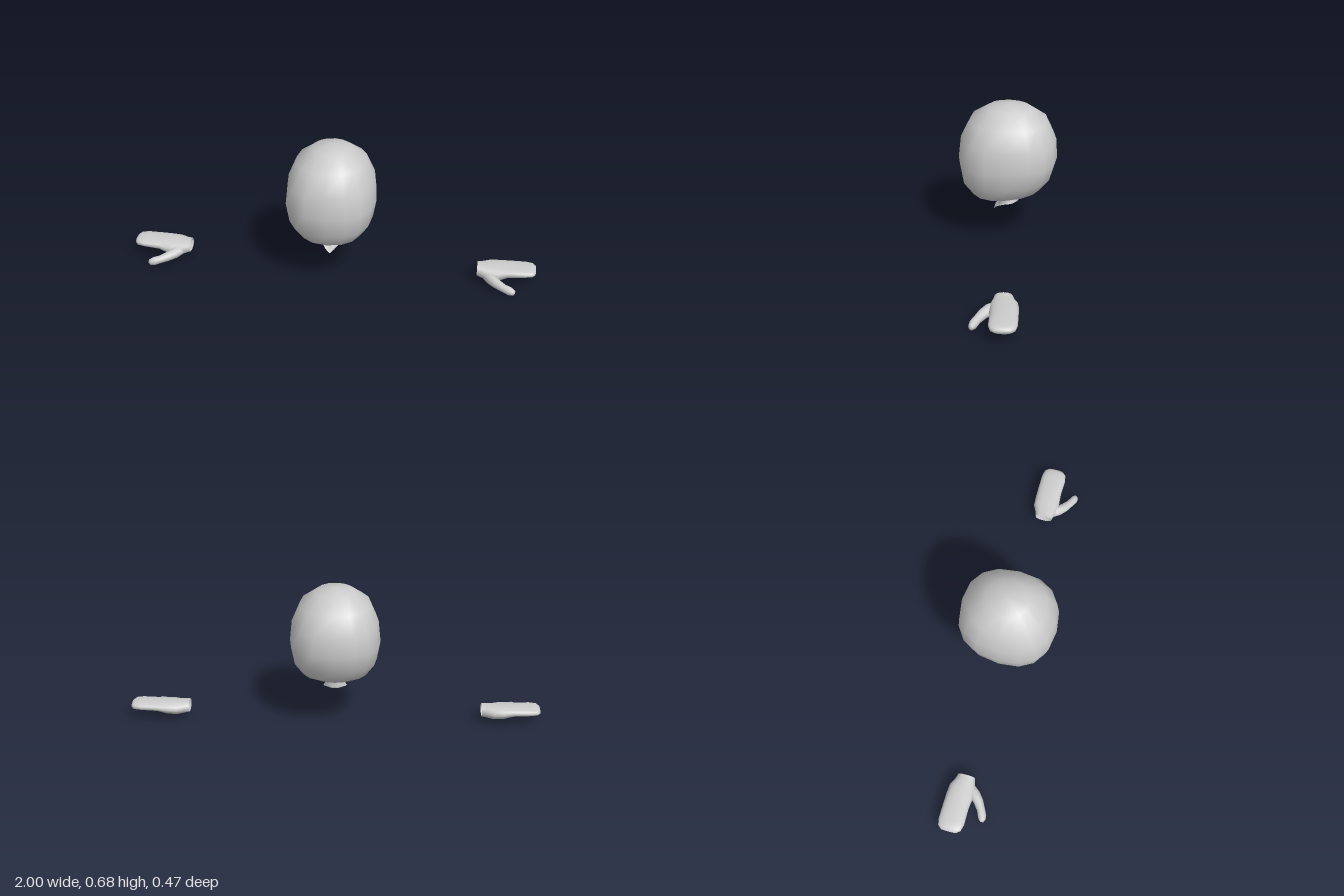
import * as THREE from 'three';
import { mergeVertices } from 'three/addons/utils/BufferGeometryUtils.js';

const material = new THREE.MeshStandardMaterial({ color: 0xcccccc, side: THREE.DoubleSide });
const signedPow = (v, e) => Math.sign(v) * Math.pow(Math.abs(v), e);

// Smooth skin over closed rings of points; zero-size rings become poles.
function loft(name, rings) {
  const n = rings[0].length, index = [];
  for (let i = 0; i < rings.length - 1; i++) {
    for (let j = 0; j < n; j++) {
      const k = (j + 1) % n, a = i * n + j, b = i * n + k, c = a + n, d = b + n;
      index.push(a, b, d, a, d, c);
    }
  }
  let geometry = new THREE.BufferGeometry();
  geometry.setAttribute('position', new THREE.Float32BufferAttribute(rings.flat(2), 3));
  geometry.setIndex(index);
  geometry = mergeVertices(geometry, 1e-5);
  geometry.computeVertexNormals();
  const mesh = new THREE.Mesh(geometry, material);
  mesh.name = name;
  return mesh;
}

// One ring: calls point(cos, sin), squared off by the exponent.
function ring(n, exponent, point) {
  return Array.from({ length: n }, (_, j) => {
    const a = (j / n) * Math.PI * 2;
    const c = Math.abs(Math.cos(a)) < 1e-9 ? 0 : Math.cos(a);
    const s = Math.abs(Math.sin(a)) < 1e-9 ? 0 : Math.sin(a);
    return point(signedPow(c, 2 / exponent), signedPow(s, 2 / exponent));
  });
}

// Mirror rings across x while keeping faces outward.
const mirror = (rings) => rings.map((r) => r.map(([x, y, z]) => [-x, y, z]).reverse());

function createHead() {
  // front z, front y, back z, back y, half width, squareness
  const rows = [
    [0.0, 0.207, 0.0, 0.207, 0, 2],
    [0.095, 0.204, -0.09, 0.227, 0.088, 2.1],
    [0.172, 0.235, -0.165, 0.268, 0.158, 2.3],
    [0.22, 0.305, -0.212, 0.33, 0.202, 2.4],
    [0.237, 0.407, -0.236, 0.413, 0.218, 2.45],
    [0.225, 0.515, -0.23, 0.51, 0.208, 2.4],
    [0.178, 0.613, -0.19, 0.602, 0.168, 2.3],
    [0.095, 0.67, -0.112, 0.663, 0.092, 2.1],
    [-0.01, 0.685, -0.01, 0.685, 0, 2],
  ];
  return loft('head', rows.map(([zf, yf, zb, yb, w, p]) => ring(16, p, (c, s) => [
    w * s,
    (yf + yb) / 2 + c * (yf - yb) / 2,
    (zf + zb) / 2 + c * (zf - zb) / 2,
  ])));
}

function createNeck() {
  const n = 16;
  // Open collar hem that drops to a point at the front
  const hem = ring(n, 2, (c, s) => [
    0.057 * s,
    c > 0 ? 0.18 - 0.053 * (1 - Math.abs(s)) : 0.18 - 0.008 * c,
    c > 0 ? -0.006 + 0.076 * Math.pow(c, 1.5) : -0.006 + 0.047 * c,
  ]);
  const middle = ring(n, 2, (c, s) => [0.051 * s, 0.19 - (c > 0 ? 0.025 : -0.008) * c, -0.006 + 0.047 * c]);
  const top = ring(n, 2, (c, s) => [0.045 * s, 0.222 - 0.01 * c, -0.006 + 0.047 * c]);
  return loft('neck', [hem, middle, top]);
}

function palmRings() {
  // x, back z, front z, bottom y, top y, drop towards the thumb
  const sections = [
    [0.716, -0.055, 0.03, 0.032, 0.089, 0],
    [0.74, -0.062, 0.036, 0.026, 0.088, 0.003],
    [0.775, -0.08, 0.048, 0.018, 0.089, 0.008],
    [0.82, -0.083, 0.046, 0.022, 0.09, 0.008],
    [0.87, -0.083, 0.042, 0.042, 0.09, 0.003],
    [0.95, -0.083, 0.044, 0.05, 0.09, 0],
    [0.983, -0.076, 0.036, 0.052, 0.088, 0],
    [0.998, -0.058, 0.016, 0.058, 0.08, 0],
    [1.0, -0.02, -0.02, 0.068, 0.068, 0],
  ];
  return sections.map(([x, zb, zf, y0, y1, drop]) => ring(16, 2.4, (c, s) => [
    x,
    (y0 + y1) / 2 - s * (y1 - y0) / 2 - drop * c * (s > 0 ? 1.2 : 0.5),
    (zb + zf) / 2 + c * (zf - zb) / 2,
  ]));
}

function thumbRings() {
  // centre x, y, z, radius; the last ring closes the tip
  const sections = [
    [0.752, 0.046, 0.012, 0.02],
    [0.785, 0.042, 0.045, 0.028],
    [0.815, 0.036, 0.075, 0.024],
    [0.848, 0.029, 0.097, 0.02],
    [0.88, 0.024, 0.113, 0.021],
    [0.898, 0.021, 0.121, 0.014],
    [0.905, 0.02, 0.124, 0],
  ];
  return sections.map(([x, y, z, r]) => ring(10, 2, (c, s) => [x - 0.6 * r * c, y - r * s, z + 0.8 * r * c]));
}

export function createModel() {
  const model = new THREE.Group();
  model.name = 'figure';
  model.add(createHead(), createNeck());
  for (const side of ['left', 'right']) {
    const place = side === 'left' ? (rings) => rings : mirror;
    const hand = new THREE.Group();
    hand.name = side + 'Hand';
    hand.add(loft(side + 'Palm', place(palmRings())), loft(side + 'Thumb', place(thumbRings())));
    model.add(hand);
  }
  return model;
}
